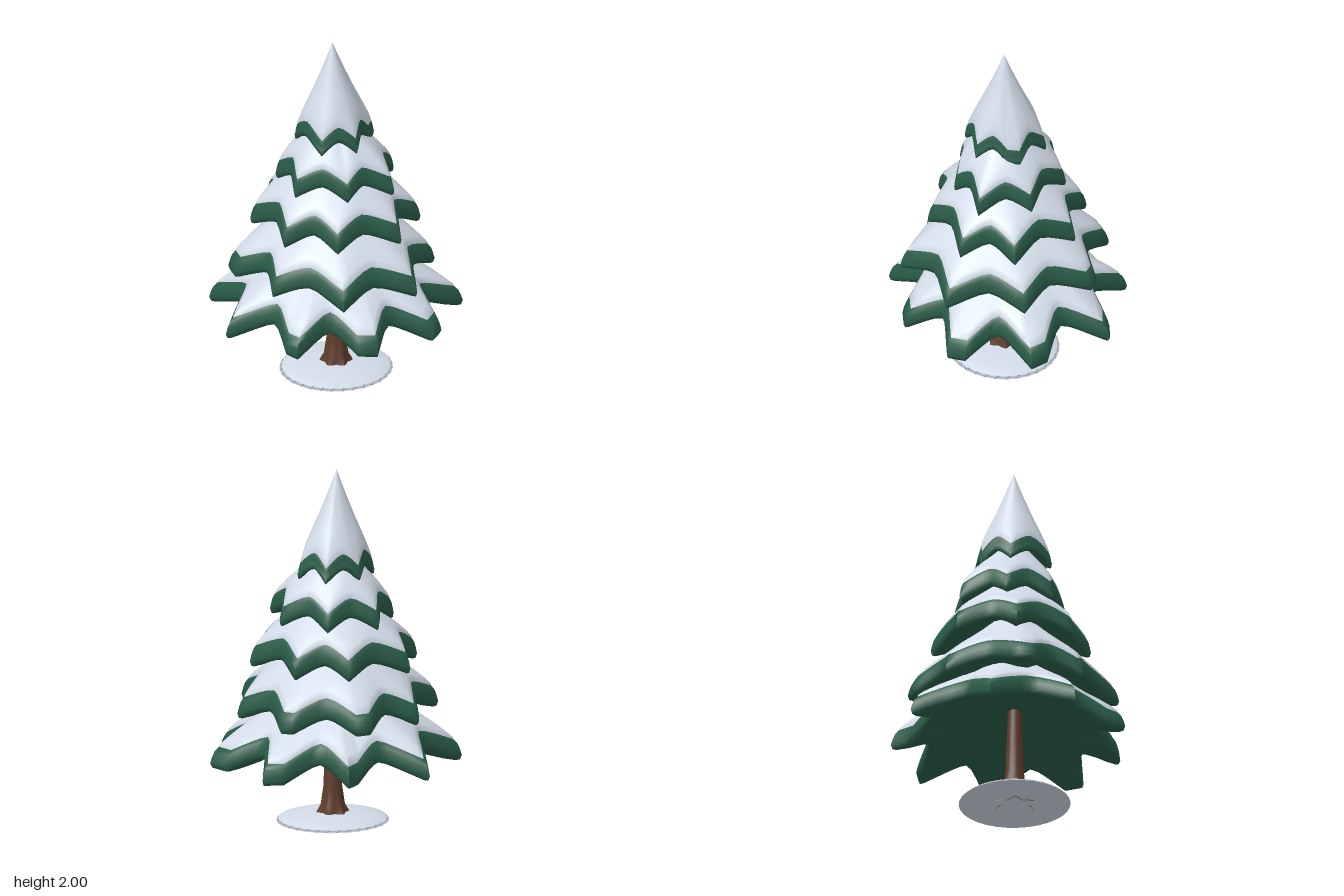
import * as THREE from 'three';
import { toCreasedNormals } from 'three/addons/utils/BufferGeometryUtils.js';

const mat = (name, color) => {
  const m = new THREE.MeshStandardMaterial({ color });
  m.name = name;
  return m;
};

// Closed rings joined from top to bottom; point(i, j) gives [x, y, z]
function loft(rings, around, point, crease) {
  const pos = [], idx = [];
  for (let i = 0; i < rings; i++) {
    for (let j = 0; j < around; j++) {
      pos.push(...point(i, j));
      if (i === rings - 1) continue;
      const k = (j + 1) % around;
      const a = i * around + j, b = i * around + k;
      const c = a + around, d = b + around;
      idx.push(a, c, b, b, c, d);
    }
  }
  const g = new THREE.BufferGeometry();
  g.setAttribute('position', new THREE.Float32BufferAttribute(pos, 3));
  g.setIndex(idx);
  return toCreasedNormals(g, crease);
}

const CX = -0.01, CZ = 0.03; // axis of the foliage

// top: inner peak height, snow: snow edge height at the tips, band: green depth,
// valley: radius between tips, lift: rise of the edge there,
// tips: branch corners in plan as [x, z]; two close corners make a blunt tip
const TIERS = [
  { top: 0.93, snow: 0.48, band: 0.13, valley: 0.75, lift: 0.09, tips: [[-0.09, -0.67],
    [0.27, -0.49], [0.37, -0.53], [0.61, -0.23], [0.69, -0.17], [0.645, 0.22], [0.645, 0.33],
    [0.36, 0.58], [0.28, 0.64], [-0.09, 0.66], [-0.18, 0.6], [-0.49, 0.46], [-0.51, 0.37],
    [-0.69, 0.03], [-0.53, -0.42]] },
  { top: 1.2, snow: 0.75, band: 0.13, valley: 0.8, lift: 0.07, tips: [[-0.165, -0.49],
    [0.19, -0.5], [0.27, -0.48], [0.52, -0.21], [0.55, -0.155], [0.5, 0.27], [0.2, 0.59],
    [-0.25, 0.56], [-0.49, 0.19], [-0.54, -0.14], [-0.52, -0.23]] },
  { top: 1.42, snow: 1.03, band: 0.13, valley: 0.8, lift: 0.07, tips: [[-0.16, -0.42],
    [0.225, -0.36], [0.43, -0.13], [0.41, 0.27], [0.17, 0.47], [-0.2, 0.41], [-0.41, 0.18],
    [-0.41, -0.18]] },
  { top: 1.66, snow: 1.27, band: 0.12, valley: 0.8, lift: 0.07, tips: [[-0.02, -0.32],
    [0.25, -0.2], [0.34, 0.1], [0.19, 0.36], [-0.08, 0.32], [-0.3, 0.11], [-0.26, -0.16]] },
  { top: 2.0, snow: 1.5, band: 0.1, valley: 0.84, lift: 0.07, tips: [[0, -0.18],
    [0.19, -0.11], [0.22, 0.09], [0.17, 0.14], [0.02, 0.25], [-0.17, 0.18], [-0.18, -0.09]] },
];

// Star outline with rounded valleys between the tips
function starOutline(tier) {
  const tips = tier.tips.map(([x, z]) => ({
    a: Math.atan2(x - CX, z - CZ), r: Math.hypot(x - CX, z - CZ),
  })).sort((p, q) => p.a - q.a);
  const out = [];
  tips.forEach((p, n) => {
    const q = tips[(n + 1) % tips.length];
    const gap = (q.a - p.a + Math.PI * 2) % (Math.PI * 2);
    const low = tier.valley * (p.r + q.r) / 2;
    const steps = gap < 0.32 ? [-1] : [-1, -0.8, -0.55, -0.28, 0, 0.28, 0.55, 0.8];
    for (const u of steps) {
      const w = Math.abs(u) ** 1.6;
      const r = low + ((u < 0 ? p.r : q.r) - low) * w;
      out.push({ a: p.a + gap * (u + 1) / 2, r, lift: tier.lift * (1 - w) });
    }
  });
  return out;
}

function buildTier(tier, n, snowMat, greenMat) {
  const group = new THREE.Group();
  group.name = 'tier' + (n + 1);
  const outline = starOutline(tier);
  const EDGE = 0.93;
  const slope = (t, edgeY) => tier.top + (edgeY - tier.top) * (t / EDGE) ** 0.95;
  const skin = (rows, crease) => loft(rows.length, outline.length, (i, j) => {
    const { a, r, lift } = outline[j];
    const [t, y] = rows[i];
    return [CX + Math.sin(a) * r * t, y(tier.snow + lift), CZ + Math.cos(a) * r * t];
  }, crease);
  const on = (t, dy = 0) => [t, (e) => slope(t, e) + dy];
  const at = (t, dy) => [t, (e) => e + dy];
  const level = (t, dy) => [t, () => tier.snow + dy];

  // Snow cover with a small turned-down lip
  const snow = new THREE.Mesh(skin([on(0), on(0.15), on(0.3), on(0.45), on(0.6, 0.004),
    on(0.75, 0.01), on(0.87, 0.008), on(EDGE, 0), at(0.928, -0.035)], 1.1), snowMat);
  snow.name = 'snowCover';

  // Green branches: rim, side band widest near the bottom, shallow hollow underside
  const b = tier.band;
  const green = new THREE.Mesh(skin([on(0.8, -0.02), at(0.935, -0.012), at(0.965, -0.035),
    at(0.985, -0.065), at(1, -b + 0.03), at(0.985, -b + 0.005), at(0.95, -b),
    at(0.85, -b + 0.01), at(0.66, -b + 0.04), level(0.42, 0.02), level(0.2, 0.075),
    level(0, 0.09)], 1.2), greenMat);
  green.name = 'branches';
  group.add(snow, green);
  return group;
}

export function createModel() {
  const snowMat = mat('snow', 0xd6dfec);
  const greenMat = mat('needles', 0x295b47);
  const barkMat = mat('bark', 0x5e3c2b);
  const tree = new THREE.Group();
  tree.name = 'snowyTree';

  TIERS.forEach((t, n) => tree.add(buildTier(t, n, snowMat, greenMat)));

  // Trunk flaring into root lobes, open below: [y, radius, lobe depth]
  const rows = [[0.64, 0.035, 0], [0.4, 0.044, 0], [0.2, 0.052, 0.02], [0.1, 0.064, 0.06],
    [0.05, 0.085, 0.14], [0, 0.1, 0.22]];
  const trunk = new THREE.Mesh(loft(rows.length, 24, (i, j) => {
    const a = j / 24 * Math.PI * 2;
    const [y, r, k] = rows[i];
    const q = r * (1 + k * Math.cos(a * 6));
    return [0.005 + Math.sin(a) * q, y, 0.045 + Math.cos(a) * q];
  }, 0.8), barkMat);
  trunk.name = 'trunk';
  tree.add(trunk);

  // Shallow snow mound around the foot
  const profile = [[0, 0.004], [0.315, 0.012], [0.3, 0.026], [0.24, 0.043],
    [0.14, 0.056], [0, 0.062]].map(([x, y]) => new THREE.Vector2(x, y));
  const mound = new THREE.Mesh(new THREE.LatheGeometry(profile, 32), snowMat);
  mound.name = 'snowMound';
  mound.position.set(0.005, 0, 0.045);
  mound.scale.z = 0.97;
  tree.add(mound);

  return tree;
}
